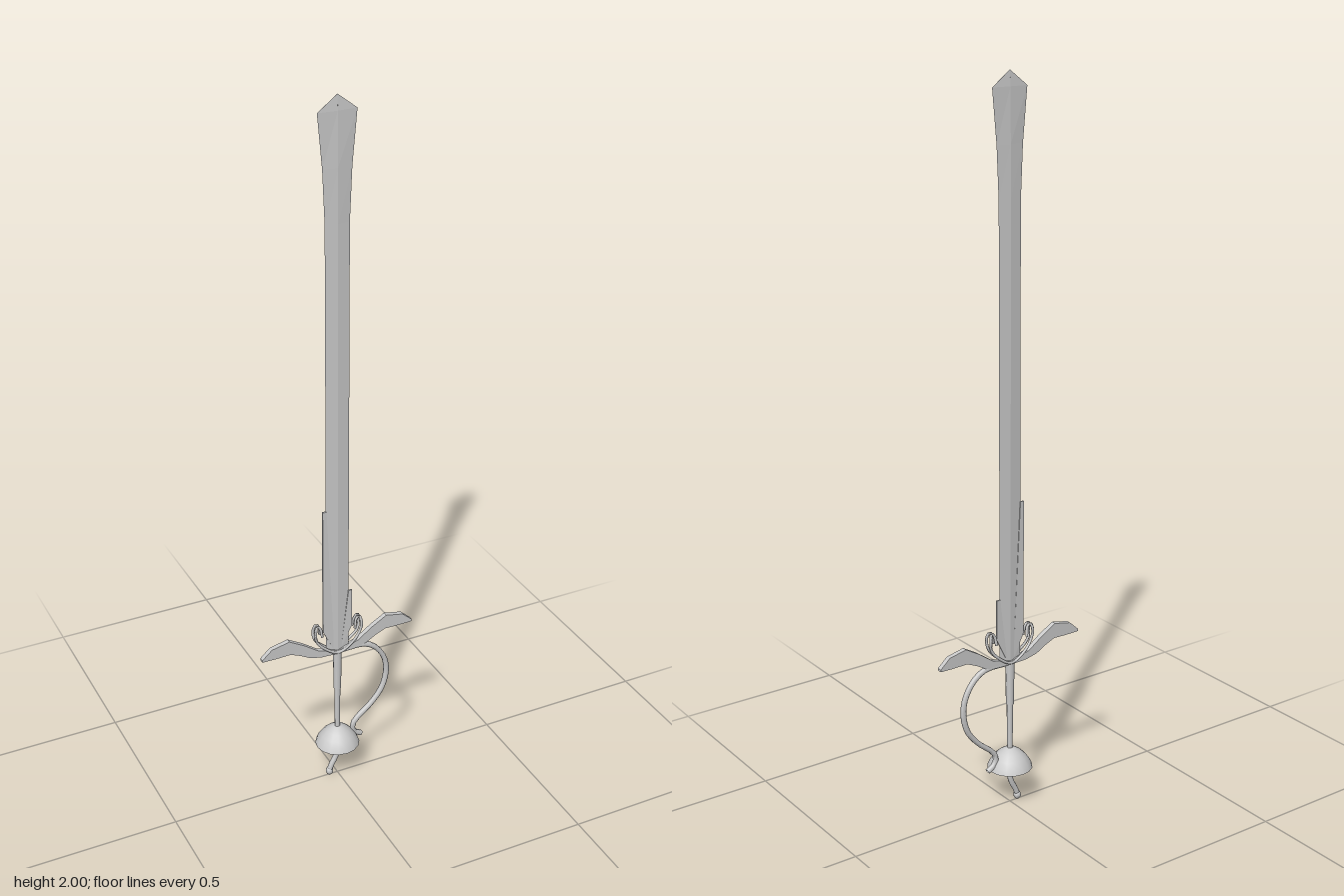
import * as THREE from 'three';

const mat = new THREE.MeshStandardMaterial({ color: 0xcccccc, side: THREE.DoubleSide });
const flatMat = new THREE.MeshStandardMaterial({ color: 0xcccccc, flatShading: true, side: THREE.DoubleSide });

function add(parent, name, geometry, material = mat) {
  const mesh = new THREE.Mesh(geometry, material);
  mesh.name = name;
  parent.add(mesh);
  return mesh;
}

function tube(points, radius, segments, sides = 6) {
  const curve = new THREE.CatmullRomCurve3(points.map(p => new THREE.Vector3(p[0], p[1], p[2] ?? 0)));
  return new THREE.TubeGeometry(curve, segments, radius, sides);
}

// Flat plate of the given outline, centred on z = 0
function plate(outline, depth) {
  const shape = new THREE.Shape(outline.map(p => new THREE.Vector2(...p)));
  return new THREE.ExtrudeGeometry(shape, { depth, bevelEnabled: false }).translate(0, 0, -depth / 2);
}

// Diamond sections [y, half width, half thickness] joined from bottom to top
function bladeGeometry(sections) {
  const pos = [], index = [];
  for (const [y, w, t] of sections) pos.push(w, y, 0, 0, y, t, -w, y, 0, 0, y, -t);
  for (let i = 0; i < sections.length - 1; i++) {
    for (let k = 0; k < 4; k++) {
      const a = i * 4 + k, b = i * 4 + (k + 1) % 4;
      index.push(a, a + 4, b, b, a + 4, b + 4);
    }
  }
  // Corners run against the y axis, so swap them to face outwards
  for (let i = 0; i < index.length; i += 3) [index[i + 1], index[i + 2]] = [index[i + 2], index[i + 1]];
  const g = new THREE.BufferGeometry();
  g.setAttribute('position', new THREE.Float32BufferAttribute(pos, 3));
  g.setIndex(index);
  g.computeVertexNormals();
  return g;
}

export function createModel() {
  const sword = new THREE.Group();
  sword.name = 'sword';

  // Blade, flaring towards a blunt point
  add(sword, 'blade', bladeGeometry([
    [0.42, 0.034, 0.004], [1.68, 0.034, 0.004], [1.82, 0.04, 0.004],
    [1.96, 0.053, 0.003], [2.0, 0.0005, 0.0005],
  ]), flatMat);

  // Stepped edge reinforcements, longer on one side
  add(sword, 'longEdgeStrip', plate([[-0.01, 0.43], [-0.044, 0.5], [-0.044, 0.88], [-0.033, 0.88]], 0.005), flatMat);
  add(sword, 'shortEdgeStrip', plate([[0.01, 0.43], [0.044, 0.5], [0.044, 0.615], [0.033, 0.615]], 0.005), flatMat);

  // Leaf-shaped guard arms
  for (const s of [1, -1]) {
    const arm = [[0, 0.42], [0.05, 0.422], [0.085, 0.43], [0.115, 0.447], [0.145, 0.46], [0.19, 0.459],
      [0.229, 0.46], [0.229, 0.466], [0.2, 0.492], [0.148, 0.503], [0.105, 0.478], [0.06, 0.446], [0, 0.43]];
    add(sword, s > 0 ? 'leftGuardArm' : 'rightGuardArm', plate(arm.map(([x, y]) => [s * x, y]), 0.014), flatMat);
  }

  // Scrolled bars on both faces of the guard
  const half = [[0.05, 0.49, 0.009], [0.055, 0.518, 0.005], [0.064, 0.526, 0.005], [0.07, 0.505, 0.01],
    [0.066, 0.478, 0.007], [0.045, 0.452, 0.01]];
  for (const z of [1, -1]) {
    const path = [...half, [0, 0.427, 0.011], ...half.slice().reverse().map(([x, y, d]) => [-x, y, d])];
    add(sword, z > 0 ? 'frontScroll' : 'backScroll', tube(path.map(([x, y, d]) => [x, y, z * d]), 0.0042, 40, 5));
  }

  // Grip in two tapering lengths
  const upper = add(sword, 'upperGrip', new THREE.CylinderGeometry(0.013, 0.011, 0.13, 8));
  upper.position.y = 0.365;
  const lower = add(sword, 'lowerGrip', new THREE.CylinderGeometry(0.009, 0.007, 0.2, 8));
  lower.position.y = 0.2;

  // Knuckle bow
  add(sword, 'knuckleBow', tube([[0.02, 0.425], [0.08, 0.424], [0.115, 0.405], [0.146, 0.36], [0.154, 0.31],
    [0.14, 0.255], [0.105, 0.21], [0.06, 0.172], [0.047, 0.15], [0.053, 0.13], [0.075, 0.115]], 0.008, 22, 6));

  // Open dome on the pommel
  const dome = [[0.063, 0.11], [0.057, 0.125], [0.046, 0.141], [0.032, 0.155], [0.015, 0.166], [0, 0.17]];
  add(sword, 'pommelDome', new THREE.LatheGeometry(dome.map(p => new THREE.Vector2(...p)), 16));

  // Bent tail below the dome, with a small end knob
  add(sword, 'pommelTail', tube([[0, 0.13], [0, 0.08], [-0.006, 0.058], [-0.018, 0.035], [-0.026, 0.014]], 0.008, 10, 8));
  const knob = add(sword, 'tailKnob', new THREE.SphereGeometry(0.011, 8, 6));
  knob.position.set(-0.025, 0.013, 0);
  knob.scale.y = 1.15;

  return sword;
}
